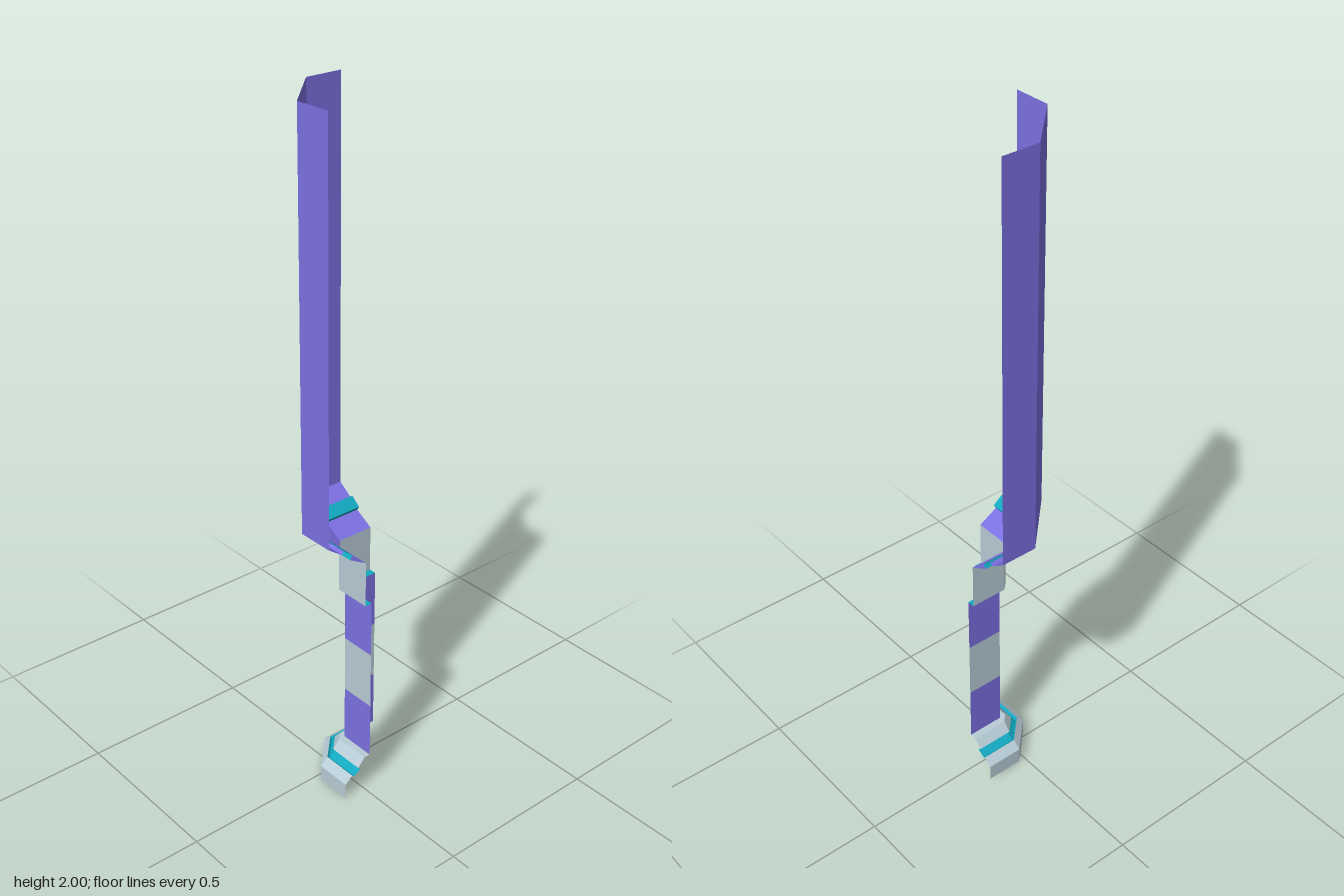
import * as THREE from 'three';

const PURPLE = 0x7c70e2, GREY = 0xb8ccd6, TEAL = 0x12a8bf;
const CORNER = 0.02, END = 0.13;

// Plan of the corner trim at offset d: two straight runs joined by a chamfer
const plan = d => [
  [CORNER - d, -END], [CORNER - d, -CORNER],
  [CORNER, d - CORNER], [END, d - CORNER],
];

// Sweeps a profile of [offset, height] points, bottom to top, around the corner
function sweep(profile) {
  const pos = [];
  for (let i = 0; i < profile.length - 1; i++) {
    const [d0, y0] = profile[i], [d1, y1] = profile[i + 1];
    const lower = plan(d0), upper = plan(d1);
    for (let s = 0; s < 3; s++) {
      const at = (p, y) => [p[0], y, p[1]];
      const a = at(lower[s], y0), b = at(lower[s + 1], y0);
      const c = at(upper[s + 1], y1), e = at(upper[s], y1);
      // the chamfer closes to a point where the offset is zero
      if (s !== 1 || d0 > 0) pos.push(...a, ...b, ...c);
      if (s !== 1 || d1 > 0) pos.push(...a, ...c, ...e);
    }
  }
  const geometry = new THREE.BufferGeometry();
  geometry.setAttribute('position', new THREE.Float32BufferAttribute(pos, 3));
  geometry.computeVertexNormals();
  return geometry;
}

export function createModel() {
  const group = new THREE.Group();
  const add = (name, color, profile) => {
    const material = new THREE.MeshStandardMaterial({
      color, flatShading: true, side: THREE.DoubleSide,
    });
    const mesh = new THREE.Mesh(sweep(profile), material);
    mesh.name = name;
    group.add(mesh);
  };

  // Stepped foot
  add('footBase', GREY, [[0.09, 0], [0.09, 0.05], [0.065, 0.07]]);
  add('footGroove', TEAL, [[0.065, 0.07], [0.058, 0.064], [0.035, 0.078], [0.043, 0.086]]);
  add('footCap', GREY, [[0.043, 0.086], [0.02, 0.112], [0, 0.112]]);

  // Banded shaft
  add('shaftLower', PURPLE, [[0, 0.112], [0, 0.283]]);
  add('shaftBand', GREY, [[0, 0.283], [0, 0.457]]);
  add('shaftUpper', PURPLE, [[0, 0.457], [0, 0.628]]);

  // Collar with its ledge
  add('collarLedge', TEAL, [[0, 0.628], [0.022, 0.628]]);
  add('collar', GREY, [[0.022, 0.628], [0.022, 0.765]]);

  // Flared head and tall wall above
  add('headFlare', PURPLE, [[0.022, 0.765], [0.078, 0.797]]);
  add('headGroove', TEAL, [[0.078, 0.797], [0.07, 0.809], [0.099, 0.832]]);
  add('headLip', PURPLE, [[0.099, 0.832], [0.107, 0.825], [0.15, 0.855]]);
  add('wall', PURPLE, [[0.15, 0.855], [0.15, 2]]);
  return group;
}
